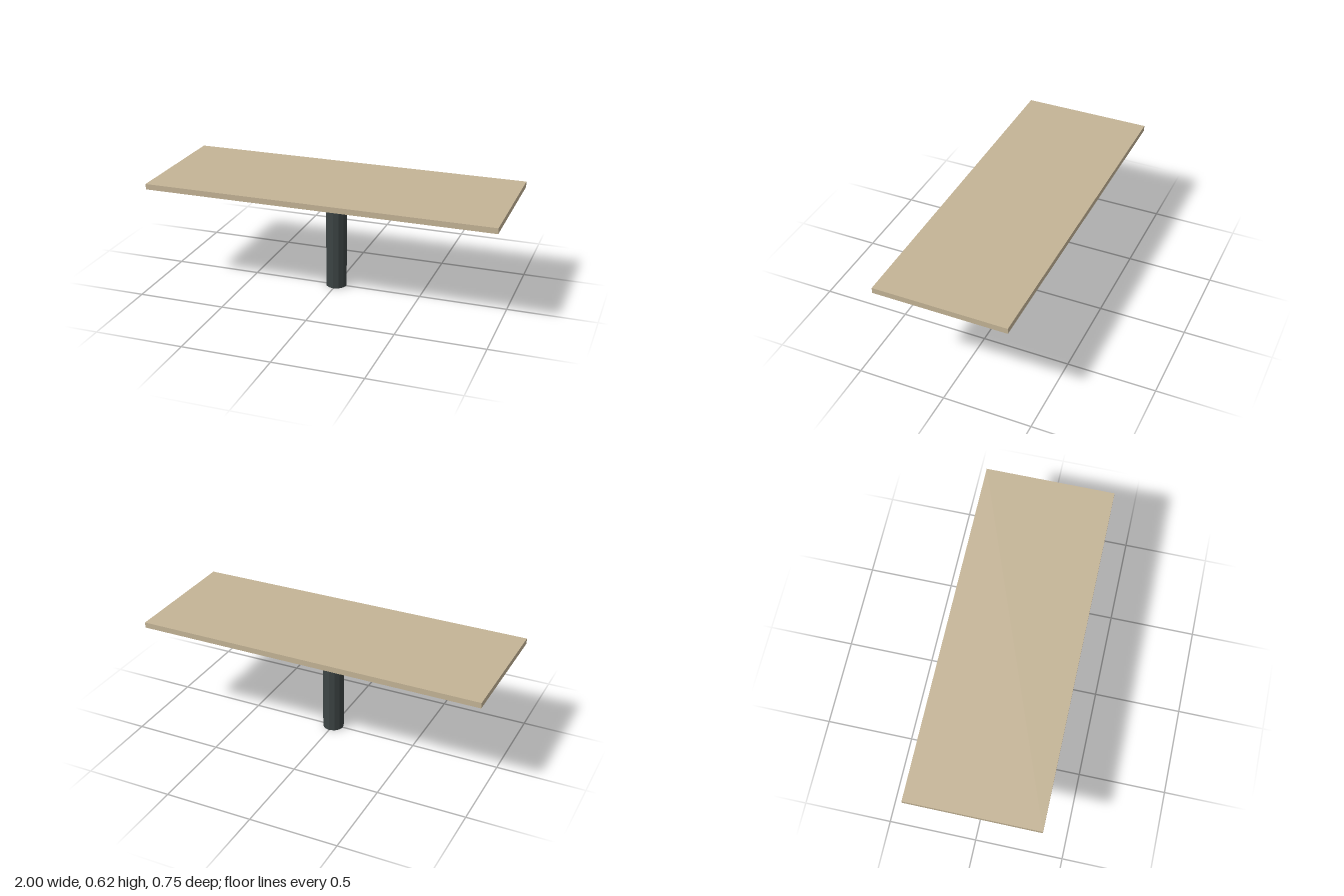
import * as THREE from 'three';

export function createModel() {
  const wood = new THREE.MeshStandardMaterial({ color: 0xc4b496 });
  wood.name = 'pale wood';
  const metal = new THREE.MeshStandardMaterial({ color: 0x3c4444, flatShading: true });
  metal.name = 'dark metal';

  const height = 0.625, thickness = 0.032, legHeight = height - thickness;
  const group = new THREE.Group();
  group.name = 'pedestalTable';

  // Flat rectangular top
  const top = new THREE.Mesh(new THREE.BoxGeometry(2, thickness, 0.75), wood);
  top.name = 'tableTop';
  top.position.y = height - thickness / 2;

  // Twelve-sided central leg
  const leg = new THREE.Mesh(new THREE.CylinderGeometry(0.06, 0.06, legHeight, 12), metal);
  leg.name = 'centralLeg';
  leg.position.y = legHeight / 2;

  group.add(top, leg);
  return group;
}
